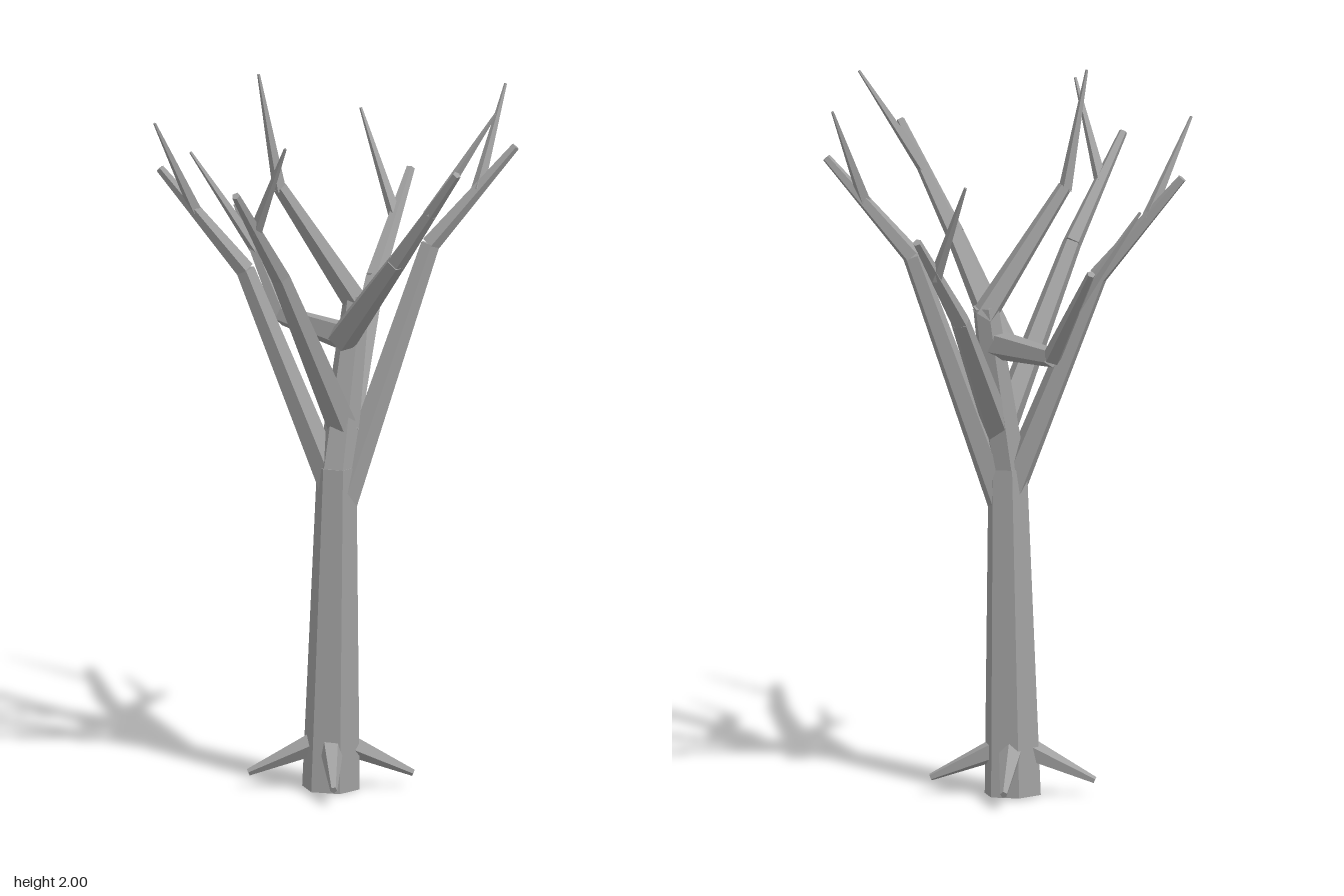
import * as THREE from 'three';

const UP = new THREE.Vector3(0, 1, 0);

export function createModel() {
  const tree = new THREE.Group();
  tree.name = 'bareTree';
  const bark = new THREE.MeshStandardMaterial({ name: 'greyBark', color: 0xa0a0a0, flatShading: true });

  // Tapered prism running from point a to point b
  function limb(name, parent, a, b, r0, r1, sides) {
    const start = new THREE.Vector3(...a);
    const dir = new THREE.Vector3(...b).sub(start);
    const length = dir.length();
    const geo = new THREE.CylinderGeometry(r1, r0, length, sides);
    geo.rotateY(Math.PI / 2);
    geo.translate(0, length / 2, 0);
    const mesh = new THREE.Mesh(geo, bark);
    mesh.name = name;
    mesh.position.copy(start);
    mesh.quaternion.setFromUnitVectors(UP, dir.normalize());
    parent.add(mesh);
  }

  // Trunk with its bent leader
  const trunk = new THREE.Group();
  trunk.name = 'trunk';
  limb('lowerTrunk', trunk, [-0.02, 0, 0], [0, 0.9, 0.018], 0.08, 0.055, 6);
  limb('upperTrunk', trunk, [0, 0.89, 0.018], [0.04, 1.36, -0.055], 0.053, 0.036, 6);
  limb('leader', trunk, [0.045, 1.33, -0.06], [-0.15, 1.68, 0.06], 0.036, 0.02, 5);
  limb('leaderTip', trunk, [-0.15, 1.67, 0.06], [-0.2, 2, 0.1], 0.019, 0.004, 4);
  tree.add(trunk);

  // Branches: base, bend, tip, then fork and end of the side twig
  const branches = [
    ['backBranch', [0.02, 1.0, 0], [0.04, 1.36, -0.29], [0.09, 1.62, -0.52], [0.07, 1.5, -0.42], [-0.05, 1.78, -0.525]],
    ['leftBranch', [0.015, 0.8, 0.015], [0.23, 1.5, -0.12], [0.455, 1.77, -0.18], [0.355, 1.65, -0.152], [0.405, 1.92, -0.285]],
    ['frontLeftBranch', [0.01, 1.25, 0], [0.2, 1.51, 0.175], [0.395, 1.79, 0.3], [0.305, 1.66, 0.245], [0.48, 1.94, 0.195]],
    ['frontBranch', [0.01, 1.02, 0.01], [-0.1, 1.48, 0.285], [-0.175, 1.75, 0.51], [-0.142, 1.63, 0.41], [-0.035, 1.89, 0.52]],
    ['rightBranch', [-0.01, 0.84, 0.015], [-0.25, 1.44, 0.04], [-0.48, 1.72, 0.075], [-0.385, 1.605, 0.06], [-0.47, 1.87, 0.19]],
    ['backRightBranch', [0.02, 1.25, -0.03], [-0.2, 1.26, -0.215], [-0.36, 1.53, -0.37], [-0.29, 1.415, -0.305], [-0.47, 1.69, -0.275]],
  ];
  for (const [name, base, bend, tip, fork, end] of branches) {
    const branch = new THREE.Group();
    branch.name = name;
    limb('lowerBranch', branch, base, bend, 0.042, 0.027, 5);
    limb('upperBranch', branch, bend, tip, 0.027, 0.012, 5);
    limb('twig', branch, fork, end, 0.018, 0.004, 4);
    tree.add(branch);
  }

  // Roots spreading from the foot of the trunk
  const roots = [[0.2, -0.045], [0.035, 0.22], [-0.24, 0.045], [-0.065, -0.225]];
  for (const [x, z] of roots) {
    const start = [-0.02 + (x + 0.02) * 0.18, 0.125, z * 0.18];
    limb('root', tree, start, [x, 0.042, z], 0.034, 0.01, 5);
  }

  return tree;
}
